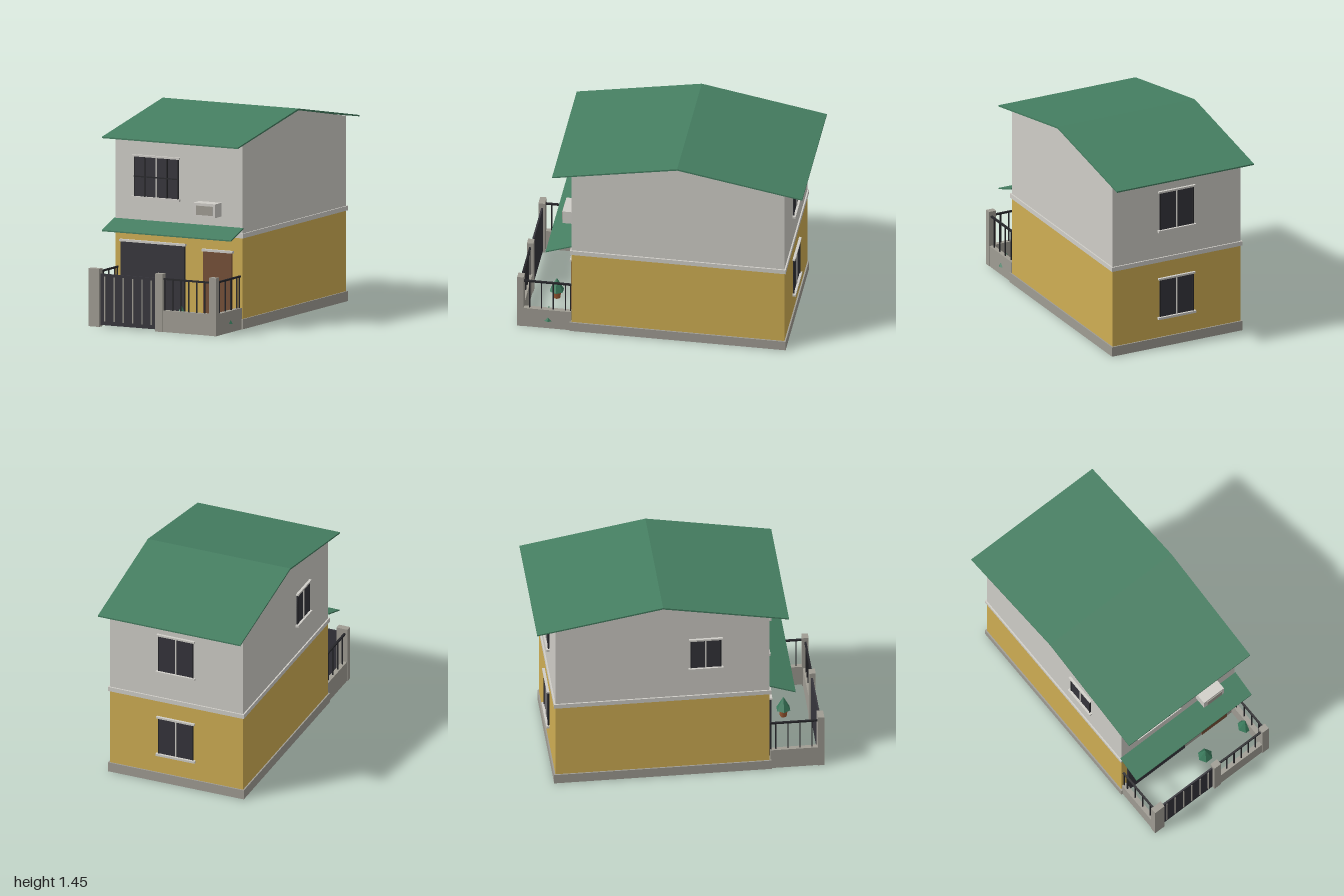
import * as THREE from 'three';

const mat = (name, color) => {
  const m = new THREE.MeshStandardMaterial({ color });
  m.name = name;
  return m;
};

export function createModel() {
  const upperPaint = mat('upper wall paint', 0xcfcdc7);
  const yellow = mat('yellow wall paint', 0xcfae53);
  const green = mat('green roofing', 0x457e61);
  const concrete = mat('concrete', 0x9f9c93);
  const dark = mat('dark panel', 0x35343b);
  const iron = mat('iron', 0x26262a);
  const wood = mat('door wood', 0x754e35);
  const trim = mat('trim', 0xd0cec8);
  const leaf = mat('leaves', 0x3a7a5c);
  const clay = mat('clay pot', 0x9a5a34);

  const house = new THREE.Group();
  house.name = 'townhouse';

  // Box given by its limits on each axis
  function box(name, material, [x0, x1], [y0, y1], [z0, z1], parent = house) {
    const mesh = new THREE.Mesh(new THREE.BoxGeometry(x1 - x0, y1 - y0, z1 - z0), material);
    mesh.position.set((x0 + x1) / 2, (y0 + y1) / 2, (z0 + z1) / 2);
    mesh.name = name;
    parent.add(mesh);
    return mesh;
  }

  // Side profile of [z, y] points swept across the width
  function sweep(name, material, points, halfWidth) {
    const shape = new THREE.Shape(points.map(([z, y]) => new THREE.Vector2(z, y)));
    const geometry = new THREE.ExtrudeGeometry(shape, { depth: halfWidth * 2, bevelEnabled: false });
    geometry.translate(0, 0, -halfWidth).rotateY(-Math.PI / 2);
    const mesh = new THREE.Mesh(geometry, material);
    mesh.name = name;
    house.add(mesh);
  }

  // Main body
  box('lowerWalls', yellow, [-0.5, 0.5], [0, 0.65], [-0.87, 0.62]);
  box('plinth', concrete, [-0.51, 0.51], [0.002, 0.072], [-0.88, 0.633]);
  box('floorBand', trim, [-0.51, 0.51], [0.636, 0.668], [-0.88, 0.63]);
  sweep('upperWalls', upperPaint,
    [[-0.87, 0.65], [0.62, 0.65], [0.62, 1.297], [-0.125, 1.436], [-0.87, 1.297]], 0.5);

  // Gable roof and porch canopy
  sweep('roof', green,
    [[0.75, 1.278], [0.75, 1.288], [-0.125, 1.447], [-1, 1.288], [-1, 1.278], [-0.125, 1.435]], 0.535);
  sweep('canopy', green, [[0.62, 0.698], [0.8, 0.636], [0.8, 0.645], [0.62, 0.708]], 0.508);

  // Window facing +z in its own frame, with its base centre at the origin
  function windowUnit(name, w, h, grille) {
    const g = new THREE.Group();
    g.name = name;
    const s = w / 2;
    box('glass', dark, [-s, s], [0, h], [-0.01, 0.006], g);
    for (const x of [-s, s - 0.008]) box('sideFrame', iron, [x, x + 0.008], [0, h], [0, 0.01], g);
    box('mullion', trim, [-0.005, 0.005], [0, h], [0, 0.01], g);
    box('lintel', trim, [-s - 0.01, s + 0.01], [h, h + 0.013], [-0.005, 0.018], g);
    box('sill', trim, [-s - 0.014, s + 0.014], [-0.016, 0], [-0.005, 0.022], g);
    if (grille) {
      for (const x of [-w / 4, 0, w / 4]) {
        if (x) box('grilleBar', iron, [x - 0.004, x + 0.004], [0, h], [0.006, 0.016], g);
      }
      box('grilleRail', iron, [-s, s], [h / 2 - 0.004, h / 2 + 0.004], [0.006, 0.016], g);
    }
    house.add(g);
    return g;
  }
  windowUnit('frontWindow', 0.35, 0.277, true).position.set(-0.175, 0.873, 0.62);
  for (const [name, y] of [['backUpperWindow', 0.875], ['backLowerWindow', 0.225]]) {
    const w = windowUnit(name, 0.265, 0.277, false);
    w.position.set(0.003, y, -0.87);
    w.rotation.y = Math.PI;
  }
  const sideWindow = windowUnit('sideWindow', 0.215, 0.23, false);
  sideWindow.position.set(-0.5, 0.9, 0.175);
  sideWindow.rotation.y = -Math.PI / 2;

  // Garage door and front door
  box('garageDoor', dark, [-0.45, 0.05], [0.002, 0.55], [0.6, 0.637]);
  box('garageLintel', trim, [-0.46, 0.06], [0.55, 0.565], [0.61, 0.643]);
  box('frontDoor', wood, [0.2, 0.422], [0.002, 0.526], [0.6, 0.637]);
  box('doorLintel', trim, [0.19, 0.432], [0.526, 0.542], [0.61, 0.643]);

  // Wall air conditioner
  box('airConditioner', trim, [0.16, 0.335], [0.776, 0.872], [0.61, 0.71]);
  box('airConditionerGrille', concrete, [0.186, 0.313], [0.79, 0.854], [0.709, 0.716]);

  // Porch posts and low walls
  for (const [x0, x1] of [[-0.503, -0.42], [0.02, 0.078], [0.445, 0.5]]) {
    box('post', concrete, [x0, x1], [0, 0.405], [0.955, 1]);
  }
  box('frontLowWall', concrete, [0.078, 0.445], [0, 0.15], [0.96, 0.993]);

  // Iron railings
  box('frontRail', iron, [0.078, 0.445], [0.362, 0.374], [0.97, 0.984]);
  for (let i = 0; i < 6; i++) {
    const x = 0.085 + i * 0.063;
    box('frontBaluster', iron, [x - 0.004, x + 0.004], [0.15, 0.364], [0.973, 0.981]);
  }
  for (const s of [-1, 1]) {
    const span = (a, b) => (s > 0 ? [a, b] : [-b, -a]);
    box('sideLowWall', concrete, span(0.464, 0.498), [0, 0.15], [0.625, 0.96]);
    box('sideRail', iron, span(0.474, 0.488), [0.362, 0.374], [0.62, 0.96]);
    for (const z of [0.63, 0.665, 0.75, 0.833, 0.916]) {
      box('sideBaluster', iron, span(0.477, 0.485), [0.15, 0.364], [z - 0.004, z + 0.004]);
    }
  }

  // Sliding gate with pale slats
  box('gate', dark, [-0.42, 0.02], [0.012, 0.37], [0.968, 0.98]);
  for (let i = 0; i < 6; i++) {
    const x = -0.385 + i * 0.0732;
    box('gateSlat', concrete, [x - 0.004, x + 0.004], [0.04, 0.352], [0.979, 0.986]);
  }

  // Potted shrubs
  for (const x of [0.11, 0.46]) {
    const pot = new THREE.Mesh(new THREE.CylinderGeometry(0.032, 0.024, 0.06, 8), clay);
    pot.position.set(x, 0.031, 0.785);
    pot.name = 'pot';
    const cone = new THREE.ConeGeometry(0.053, 0.1, 6).toNonIndexed();
    cone.computeVertexNormals();
    const shrub = new THREE.Mesh(cone, leaf);
    shrub.position.set(x, 0.11, 0.785);
    shrub.rotation.y = Math.PI / 6;
    shrub.name = 'shrub';
    house.add(pot, shrub);
  }

  return house;
}
